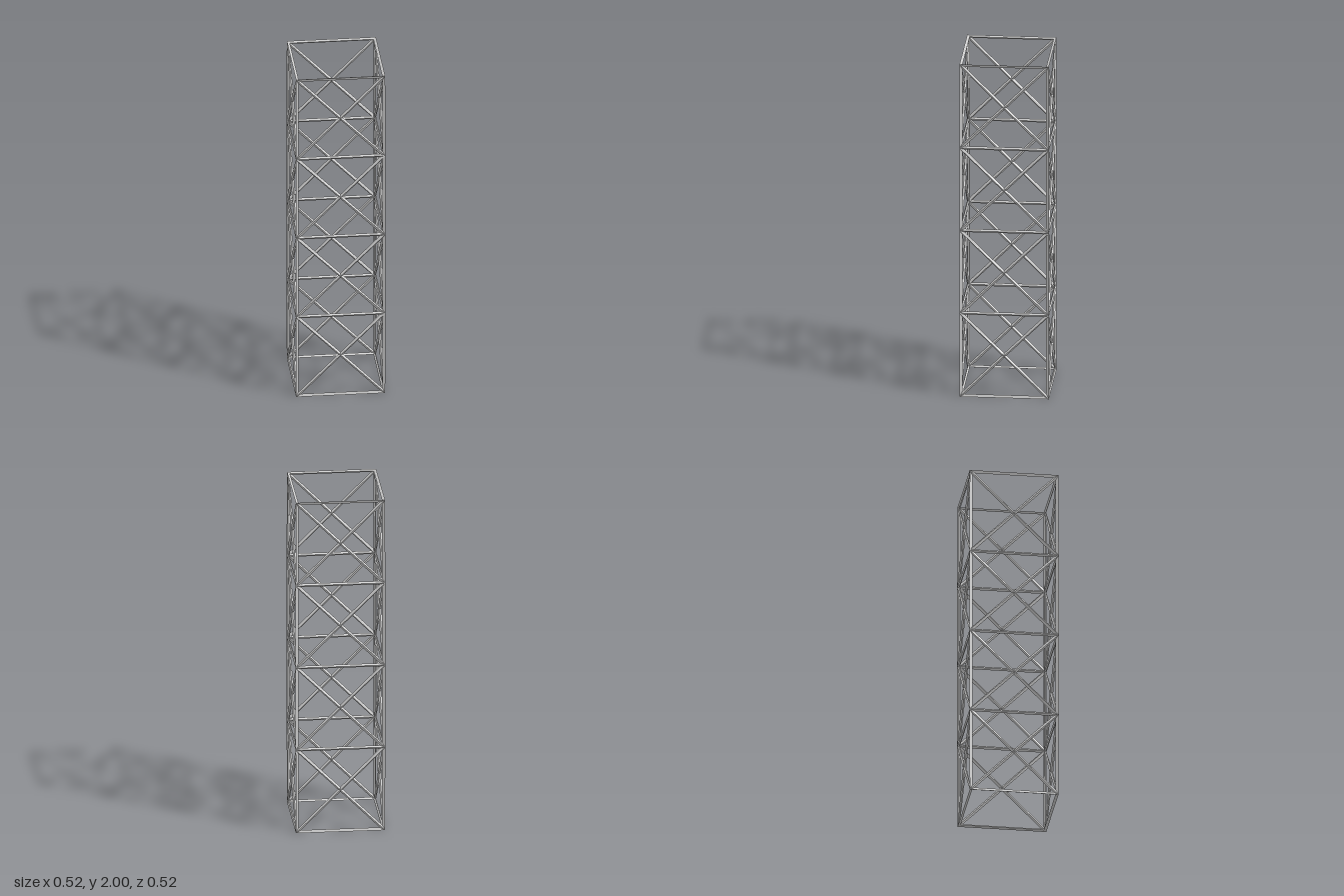
import * as THREE from 'three';

const BAYS = 4;
const PITCH = 0.4971;          // bay height and tower width, between bar centre lines
const HALF = PITCH / 2;
const T = 0.00994;             // half the bar thickness

// A joint of the lattice: bars come to a ridge outside and inside along its normal
function joint(x, y, z, nx, ny, nz, isCentre = false) {
  const p = new THREE.Vector3(x, y, z);
  const n = new THREE.Vector3(nx, ny, nz).normalize().multiplyScalar(T);
  return { p, isCentre, outer: p.clone().add(n), inner: p.clone().sub(n) };
}

export function createModel() {
  const group = new THREE.Group();
  const steel = new THREE.MeshStandardMaterial({ color: 0xcccccc });
  steel.name = 'steel grey';
  const parts = { cornerPosts: [], horizontalRings: [], crossBraces: [] };

  const quad = (list, a, b, c, d) => {
    for (const v of [a, b, c, a, c, d]) list.push(v.x, v.y, v.z);
  };

  // Frame one panel (joints counter-clockwise from outside) with half-bars along its edges
  function framePanel(joints) {
    const count = joints.length;
    const inset = joints.map((j, i) => {
      const next = joints[(i + 1) % count].p.clone().sub(j.p).normalize();
      const prev = joints[(i + count - 1) % count].p.clone().sub(j.p).normalize();
      const sine = next.clone().cross(prev).length();
      return j.p.clone().addScaledVector(next.add(prev), T / sine);
    });
    joints.forEach((a, i) => {
      const k = (i + 1) % count, b = joints[k];
      const list = a.isCentre || b.isCentre ? parts.crossBraces
        : Math.abs(a.p.y - b.p.y) > 0.1 ? parts.cornerPosts : parts.horizontalRings;
      quad(list, a.outer, b.outer, inset[k], inset[i]);
      quad(list, inset[i], inset[k], b.inner, a.inner);
    });
  }

  // Corner joints, level by level, counter-clockwise from above
  const corners = [[1, 1], [1, -1], [-1, -1], [-1, 1]];
  const levels = [];
  for (let k = 0; k <= BAYS; k++) {
    const y = 1 + (k - BAYS / 2) * PITCH;
    const ny = k === 0 ? -1 : k === BAYS ? 1 : 0;
    levels.push(corners.map(([sx, sz]) => joint(sx * HALF, y, sz * HALF, sx, ny, sz)));
  }

  // Each side of each bay: four triangles meeting at the crossing of the braces
  for (let k = 0; k < BAYS; k++) {
    for (let s = 0; s < 4; s++) {
      const e = (s + 1) % 4;
      const ring = [levels[k][s], levels[k][e], levels[k + 1][e], levels[k + 1][s]];
      const nx = (corners[s][0] + corners[e][0]) / 2;
      const nz = (corners[s][1] + corners[e][1]) / 2;
      const y = (ring[0].p.y + ring[2].p.y) / 2;
      const centre = joint(nx * HALF, y, nz * HALF, nx, 0, nz, true);
      for (let i = 0; i < 4; i++) framePanel([ring[i], ring[(i + 1) % 4], centre]);
    }
  }

  // Open square ends
  framePanel(levels[BAYS]);
  framePanel([...levels[0]].reverse());

  for (const [name, list] of Object.entries(parts)) {
    const geometry = new THREE.BufferGeometry();
    geometry.setAttribute('position', new THREE.Float32BufferAttribute(list, 3));
    geometry.computeVertexNormals();
    const mesh = new THREE.Mesh(geometry, steel);
    mesh.name = name;
    group.add(mesh);
  }
  group.name = 'latticeTower';
  return group;
}
